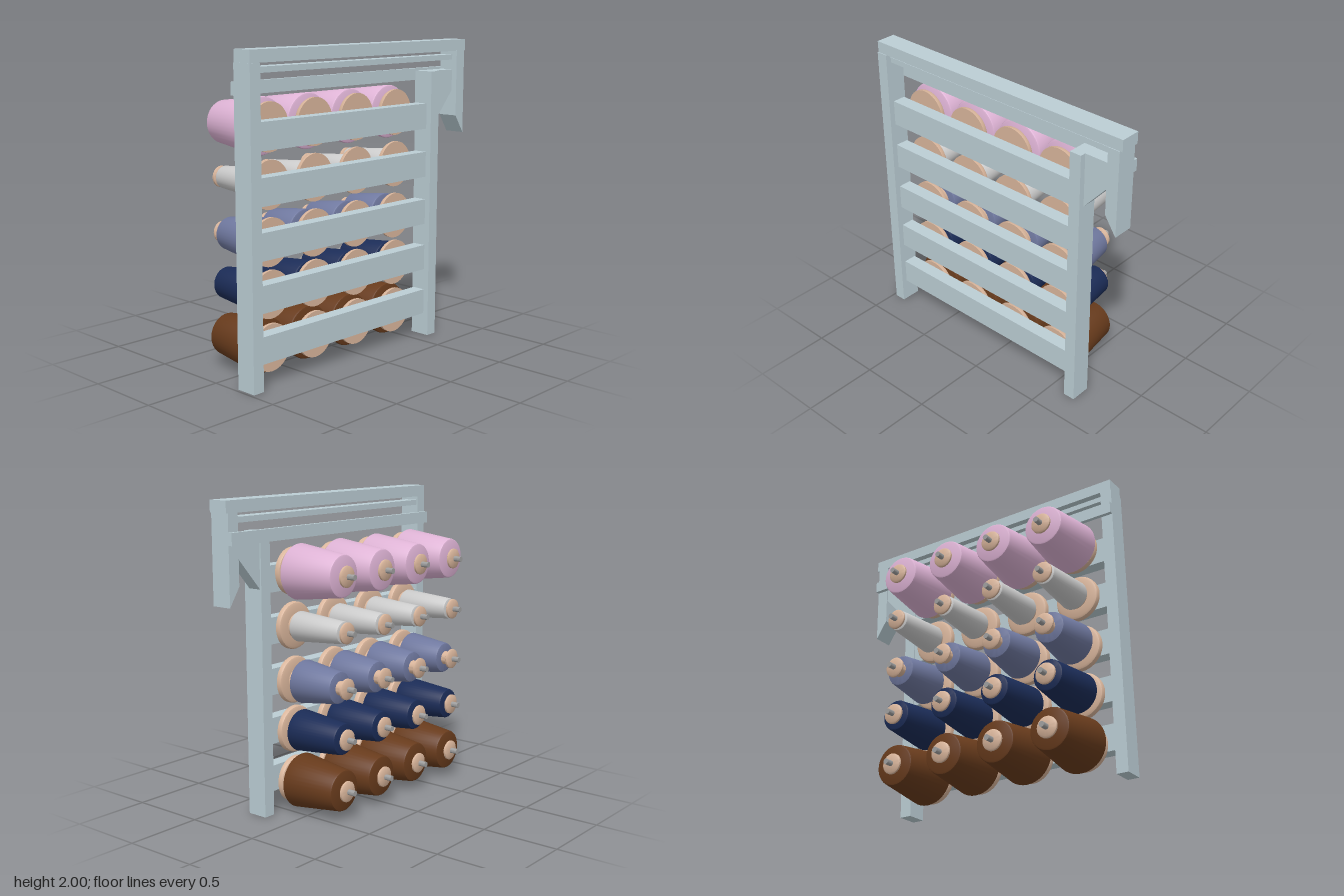
import * as THREE from 'three';
import { toCreasedNormals } from 'three/addons/utils/BufferGeometryUtils.js';

const mat = (color) => new THREE.MeshStandardMaterial({ color });
const paint = mat(0xbbcdd4);
const wood = mat(0xd9b59b);
const metal = mat(0xa0a0a0);

// Box given by its min and max on each axis
function bar(name, [x0, x1], [y0, y1], [z0, z1]) {
  const mesh = new THREE.Mesh(new THREE.BoxGeometry(x1 - x0, y1 - y0, z1 - z0), paint);
  mesh.name = name;
  mesh.position.set((x0 + x1) / 2, (y0 + y1) / 2, (z0 + z1) / 2);
  return mesh;
}

// Side outline given as [z, y] points, extruded along x
function panel(name, [x0, x1], outline) {
  const shape = new THREE.Shape(outline.map(([z, y]) => new THREE.Vector2(-z, y)));
  const geo = new THREE.ExtrudeGeometry(shape, { depth: x1 - x0, bevelEnabled: false });
  geo.rotateY(Math.PI / 2).translate(x0, 0, 0);
  const mesh = new THREE.Mesh(geo, paint);
  mesh.name = name;
  return mesh;
}

// Turned solid along x, profile as [radius, x] with rising x
function turned(profile, segments = 40) {
  const geo = new THREE.LatheGeometry(profile.map(([r, x]) => new THREE.Vector2(r, x)), segments);
  geo.rotateZ(-Math.PI / 2);
  return toCreasedNormals(geo, 0.6);
}

// Wound thread: a cone with softly rounded shoulders
function threadGeometry({ tip, base, rTip, rBase }) {
  const b = 0.012;
  return turned([
    [0, tip], [rTip - b, tip], [rTip - b * 0.3, tip + b * 0.3], [rTip, tip + b],
    [rBase, base - b], [rBase - b * 0.3, base - b * 0.3], [rBase - b, base], [0, base],
  ]);
}

export function createModel() {
  const model = new THREE.Group();

  // Frame
  const frame = new THREE.Group();
  frame.name = 'frame';
  const deep = [0.18, 0.318], inset = [0.19, 0.28];
  frame.add(
    bar('topBeam', [0.18, 0.313], [1.925, 2], [-0.975, 0.975]),
    bar('frontPost', deep, [0, 1.925], [0.9, 0.978]),
    bar('backPost', deep, [0, 1.8], [-0.695, -0.615]),
    bar('thinRail', inset, [1.865, 1.9], [-0.88, 0.9]),
    bar('sideLath', [0.153, 0.18], [1.738, 1.815], [-0.96, 0.978]),
    panel('hangingPost', deep, [[-0.88, 1.925], [-0.88, 1.49], [-0.96, 1.37], [-0.96, 1.925]].reverse()),
    panel('brace', inset, [[-0.695, 1.8], [-0.695, 1.45], [-0.88, 1.66], [-0.88, 1.8]].reverse()),
  );
  for (const y of [0.15, 0.46, 0.775, 1.097, 1.42]) {
    frame.add(bar('slat', inset, [y, y + 0.168], [-0.615, 0.9]));
  }
  model.add(frame);

  // Wooden bobbin core with its flange and end collar, and the metal pin
  const coreGeo = turned([
    [0, -0.275], [0.055, -0.275], [0.066, -0.268], [0.066, -0.256], [0.058, -0.25],
    [0.045, -0.245], [0.045, -0.2], [0.07, 0.06], [0.08, 0.085], [0.08, 0.143],
    [0.132, 0.146], [0.145, 0.152], [0.15, 0.162], [0.15, 0.182], [0, 0.182],
  ]);
  const pinGeo = turned([[0, -0.325], [0.018, -0.325], [0.018, 0.19], [0, 0.19]], 16);

  // Rows of spools, bottom to top
  const rows = [
    { y: 0.195, color: 0x683b1c, tip: -0.24, base: 0.122, rTip: 0.132, rBase: 0.175 },
    { y: 0.527, color: 0x1b2c57, tip: -0.24, base: 0.12, rTip: 0.1, rBase: 0.133 },
    { y: 0.848, color: 0x7079a0, tip: -0.207, base: 0.09, rTip: 0.102, rBase: 0.138 },
    { y: 1.195, color: 0xc6c6c4, tip: -0.24, base: 0.125, rTip: 0.07, rBase: 0.096 },
    { y: 1.538, color: 0xdfb4d6, tip: -0.24, base: 0.122, rTip: 0.132, rBase: 0.175 },
  ];
  for (const row of rows) {
    const threadGeo = threadGeometry(row);
    const threadMat = mat(row.color);
    for (const z of [0.705, 0.33, -0.045, -0.42]) {
      const spool = new THREE.Group();
      spool.name = 'spool';
      const parts = [['core', coreGeo, wood], ['pin', pinGeo, metal], ['thread', threadGeo, threadMat]];
      for (const [name, geo, material] of parts) {
        const mesh = new THREE.Mesh(geo, material);
        mesh.name = name;
        spool.add(mesh);
      }
      spool.position.set(0, row.y, z);
      model.add(spool);
    }
  }
  return model;
}
